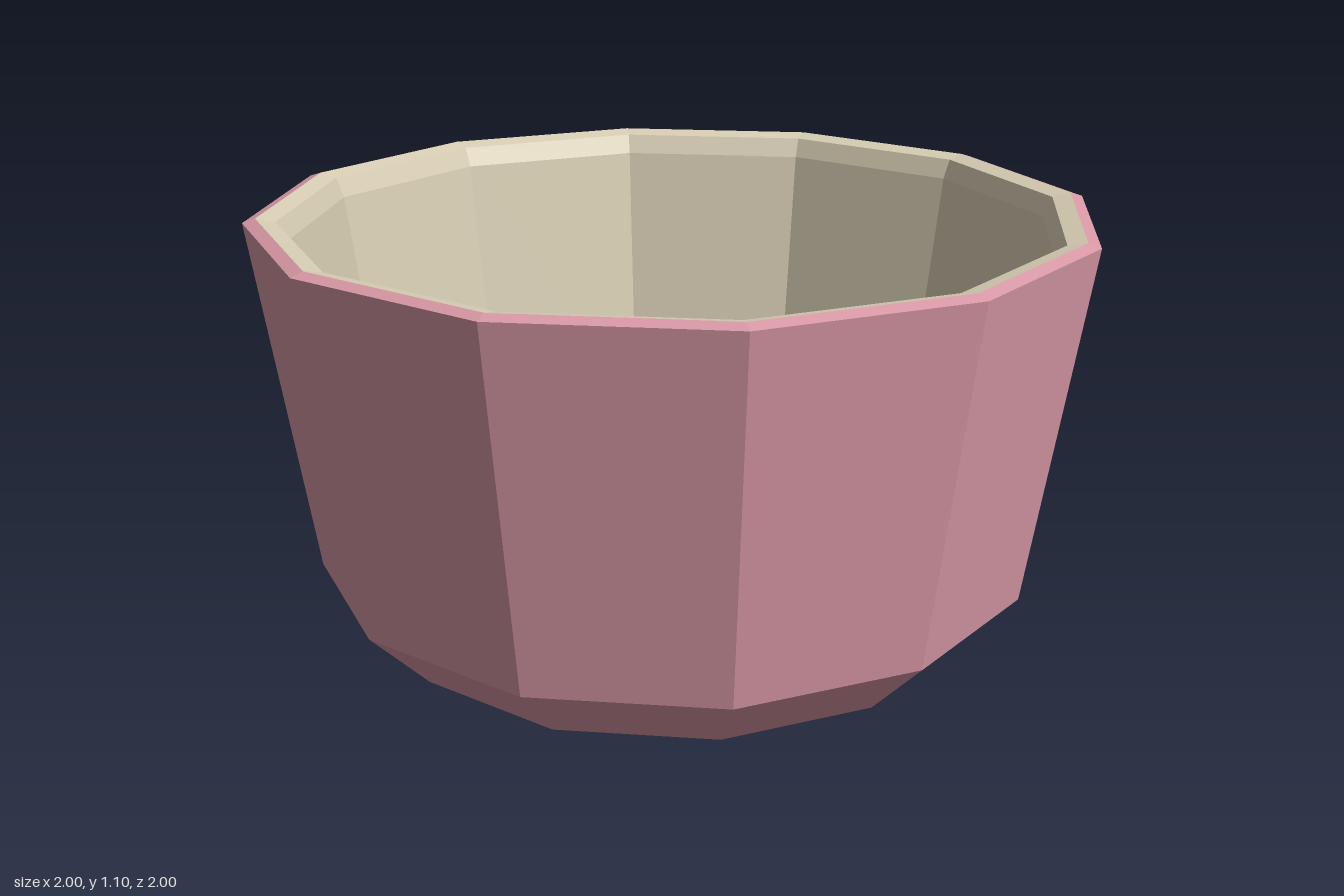
import * as THREE from 'three';

const SIDES = 12;
const START = Math.PI / SIDES;       // turns flat sides towards the axes
const TO_CORNER = 1 / Math.cos(START); // side distance -> corner radius

// Faceted ring surface from [side distance, height] pairs
function facetedShell(name, profile, material) {
  const points = profile.map(([d, y]) => new THREE.Vector2(d * TO_CORNER, y));
  const geometry = new THREE.LatheGeometry(points, SIDES, START).toNonIndexed();
  geometry.computeVertexNormals();
  const mesh = new THREE.Mesh(geometry, material);
  mesh.name = name;
  return mesh;
}

// Flat twelve-sided disc facing up or down
function disc(name, distance, y, facingUp, material) {
  const geometry = new THREE.CircleGeometry(distance * TO_CORNER, SIDES, START);
  geometry.rotateX(facingUp ? -Math.PI / 2 : Math.PI / 2);
  const mesh = new THREE.Mesh(geometry, material);
  mesh.name = name;
  mesh.position.y = y;
  return mesh;
}

export function createModel() {
  const pink = new THREE.MeshStandardMaterial({ color: 0xd898a5 });
  pink.name = 'dusty pink';
  const cream = new THREE.MeshStandardMaterial({ color: 0xd8ceb4 });
  cream.name = 'cream';

  const bowl = new THREE.Group();
  bowl.name = 'bowl';

  // Outside: foot bevel, lower bevel, wall and outer rim edge
  bowl.add(facetedShell('outerWall',
    [[0.6, 0], [0.72, 0.04], [0.87, 0.2], [1, 1.09], [0.97, 1.1]], pink));
  bowl.add(disc('base', 0.6, 0, false, pink));

  // Inside: rim, lip, wall and lower bevel, running downwards
  bowl.add(facetedShell('innerWall',
    [[0.97, 1.1], [0.925, 1.09], [0.905, 1.04], [0.79, 0.24], [0.65, 0.11]], cream));
  bowl.add(disc('innerFloor', 0.65, 0.11, true, cream));

  return bowl;
}
